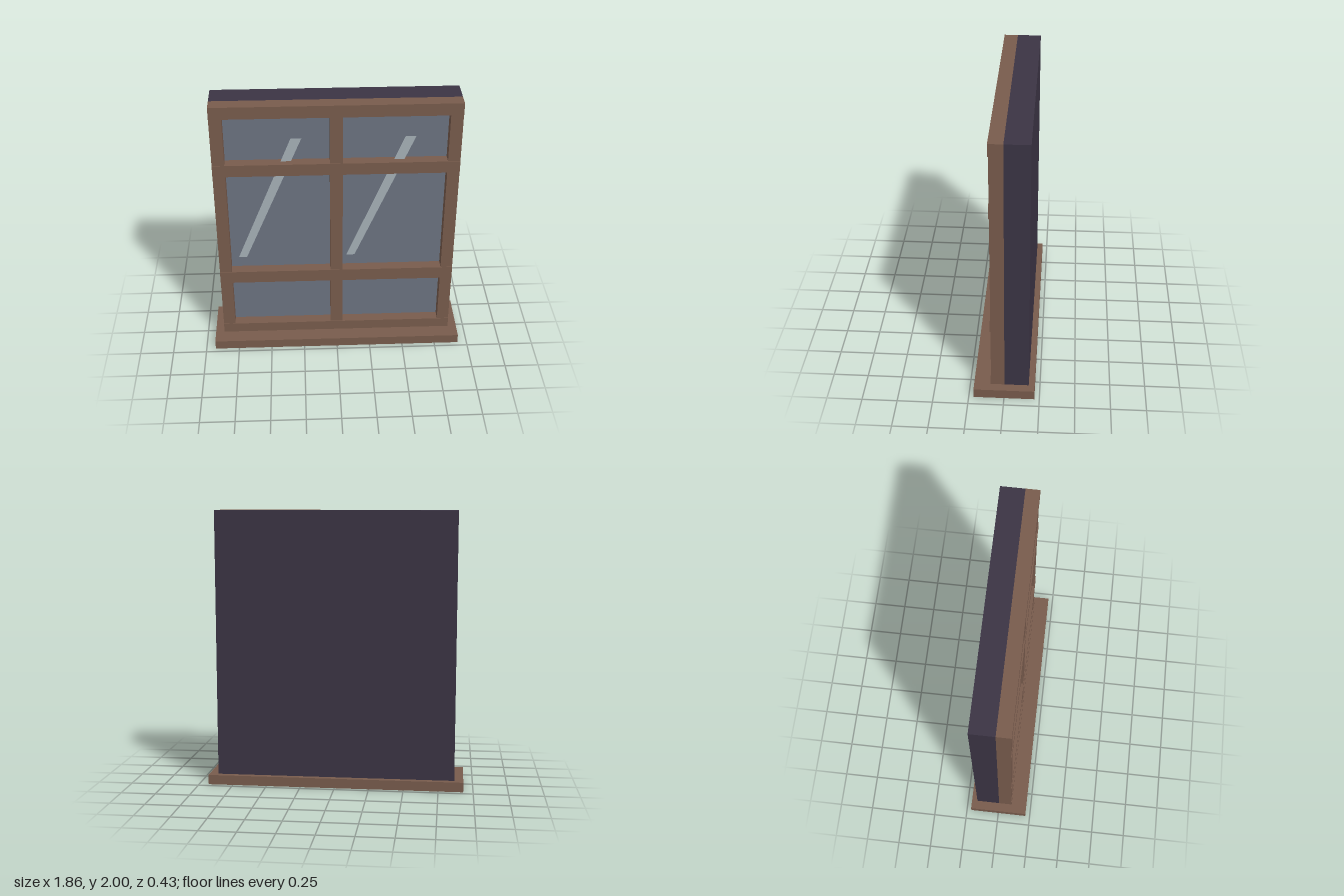
import * as THREE from 'three';

const wood = new THREE.MeshStandardMaterial({ color: 0x785b4c });
wood.name = 'brown wood';
const dark = new THREE.MeshStandardMaterial({ color: 0x3b3444 });
dark.name = 'dark backing';
const glass = new THREE.MeshStandardMaterial({ color: 0x6b7380 });
glass.name = 'blue grey glass';
const shine = new THREE.MeshStandardMaterial({ color: 0xa6b0b7, side: THREE.DoubleSide });
shine.name = 'pale glint';

// Box given by its lower and upper limits on each axis
function box(name, material, [x0, x1], [y0, y1], [z0, z1]) {
  const mesh = new THREE.Mesh(new THREE.BoxGeometry(x1 - x0, y1 - y0, z1 - z0), material);
  mesh.position.set((x0 + x1) / 2, (y0 + y1) / 2, (z0 + z1) / 2);
  mesh.name = name;
  return mesh;
}

export function createModel() {
  const model = new THREE.Group();
  model.name = 'window';
  const W = 0.865;

  // Sill and solid backing
  model.add(box('sill', wood, [-0.93, 0.93], [0, 0.07], [-0.215, 0.215]));
  model.add(box('backing', dark, [-W, W], [0.07, 2], [-0.172, 0]));

  // Upright posts
  const posts = { rightStile: [-W, -0.778], mullion: [-0.045, 0.045], leftStile: [0.778, W] };
  for (const [name, x] of Object.entries(posts)) {
    model.add(box(name, wood, x, [0.07, 2], [0, 0.095]));
  }

  // Crossbars, standing slightly proud of the posts
  const rails = { bottomRail: [0.07, 0.147], lowerRail: [0.54, 0.637], upperRail: [1.46, 1.55], topRail: [1.91, 2] };
  for (const [name, y] of Object.entries(rails)) {
    model.add(box(name, wood, [-W, W], y, [0, 0.1]));
  }

  // Glass and a slanted glint on each half
  for (const [side, x] of [['right', [-0.778, -0.045]], ['left', [0.045, 0.778]]]) {
    model.add(box(side + 'Glass', glass, x, [0.147, 1.91], [0.012, 0.02]));
    const glint = new THREE.Shape([
      new THREE.Vector2(0, 0), new THREE.Vector2(0.06, 0),
      new THREE.Vector2(0.48, 0.99), new THREE.Vector2(0.405, 0.99),
    ]);
    const mesh = new THREE.Mesh(new THREE.ShapeGeometry(glint), shine);
    mesh.position.set(side === 'right' ? -0.72 : 0.075, 0.74, 0.05);
    mesh.name = side + 'Glint';
    model.add(mesh);
  }

  return model;
}
